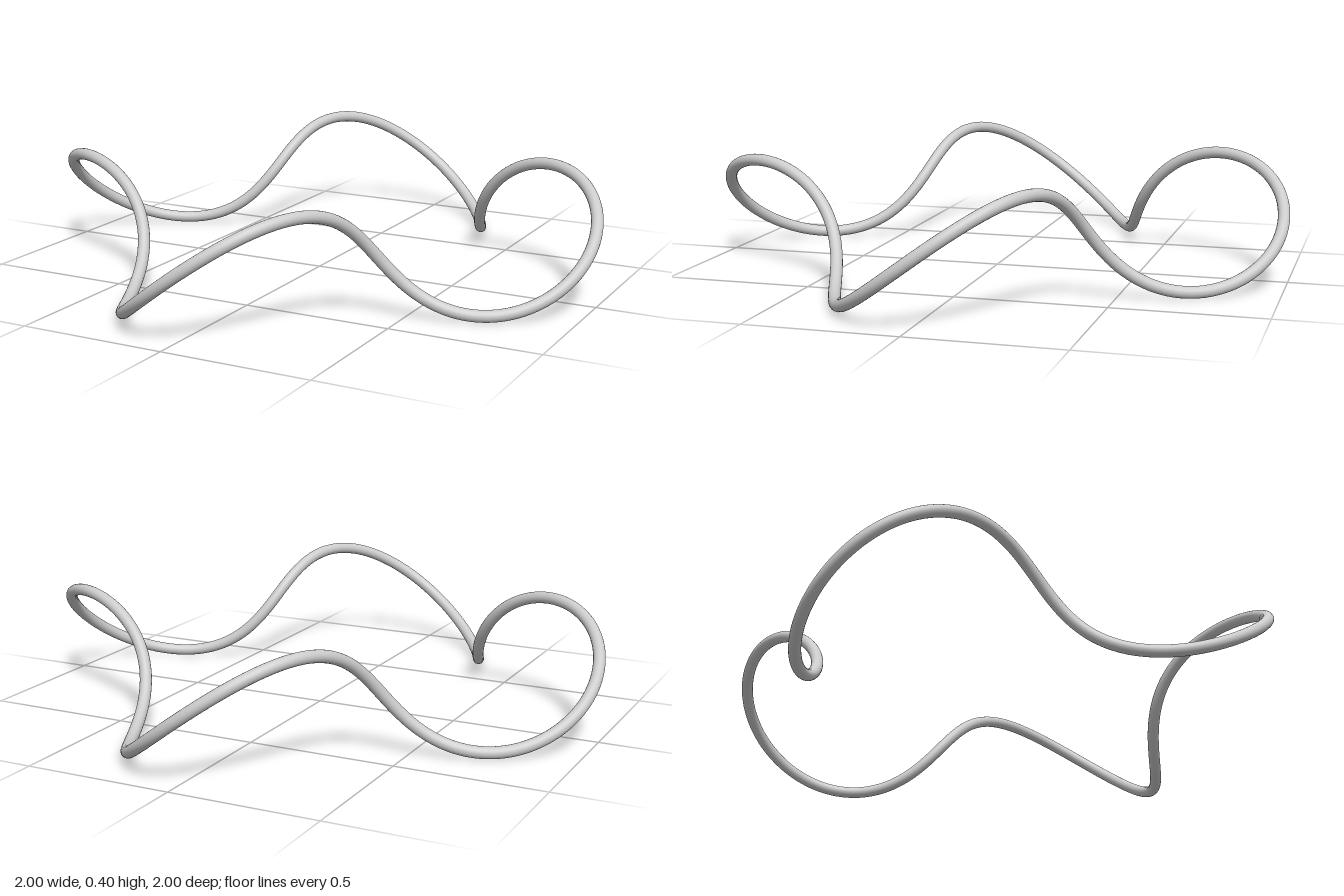
import * as THREE from 'three';

const RING = 0.8;   // radius of the main ring
const WAVE = 0.18;  // radius of the coil around the ring
const TURNS = 4;    // coils per lap
const WIRE = 0.02;  // wire radius

// Closed path that winds four times around a ring
class CoilCurve extends THREE.Curve {
  getPoint(t, target = new THREE.Vector3()) {
    const a = t * Math.PI * 2;
    const r = RING + WAVE * Math.cos(TURNS * a);
    return target.set(
      r * Math.cos(a),
      WAVE + WIRE - WAVE * Math.sin(TURNS * a),
      r * Math.sin(a)
    );
  }
}

export function createModel() {
  const group = new THREE.Group();
  group.name = 'coiledRing';

  // Round wire swept along the path
  const wire = new THREE.Mesh(
    new THREE.TubeGeometry(new CoilCurve(), 400, WIRE, 20, true),
    new THREE.MeshStandardMaterial({ color: 0xcccccc })
  );
  wire.name = 'wire';
  group.add(wire);

  return group;
}
